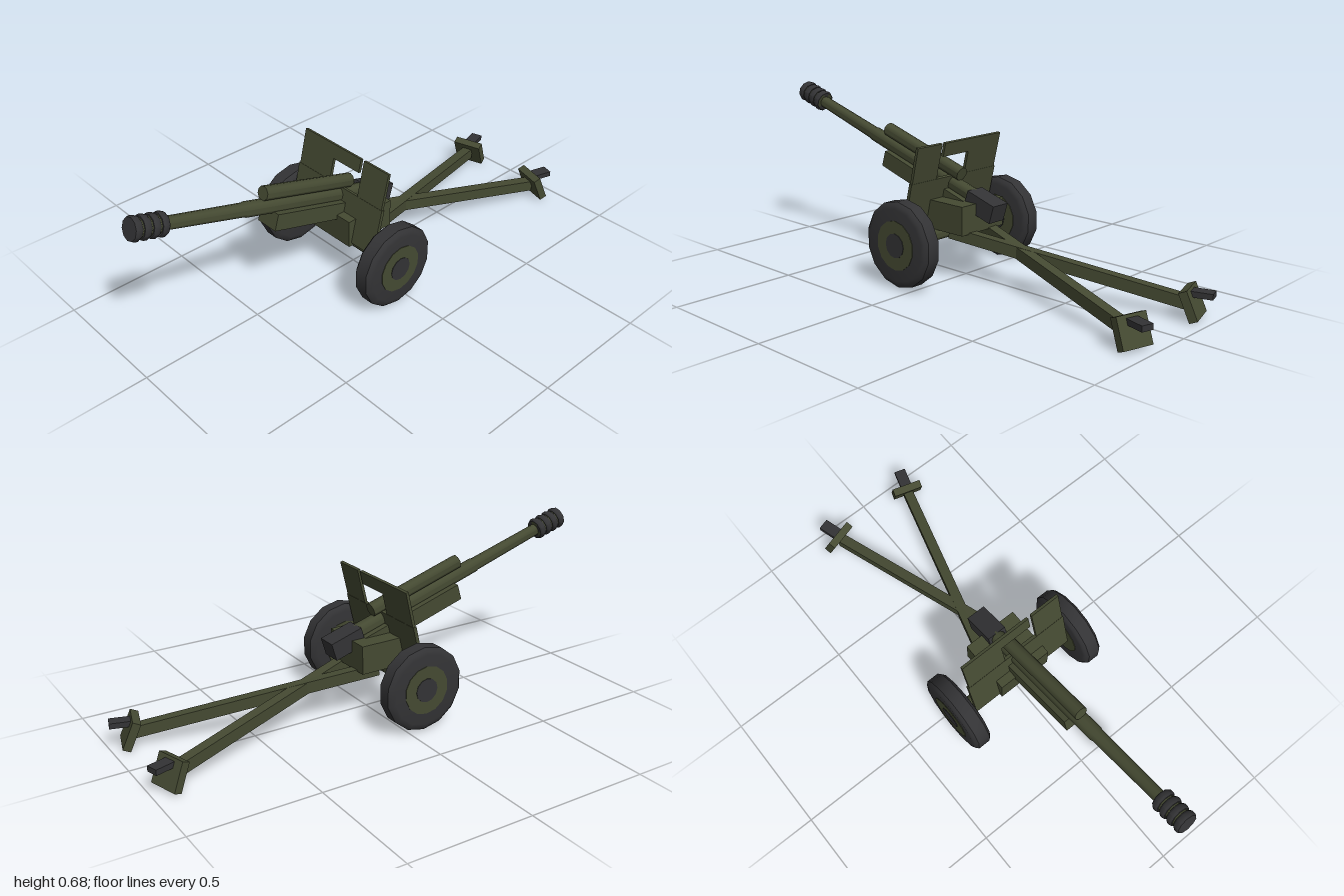
import * as THREE from 'three';
import { toCreasedNormals } from 'three/addons/utils/BufferGeometryUtils.js';

const olive = new THREE.MeshStandardMaterial({ color: 0x454a32 });
olive.name = 'olive green';
const dark = new THREE.MeshStandardMaterial({ color: 0x333335 });
dark.name = 'dark grey';

function add(parent, name, geometry, material, x = 0, y = 0, z = 0) {
  const mesh = new THREE.Mesh(geometry, material);
  mesh.name = name;
  mesh.position.set(x, y, z);
  parent.add(mesh);
  return mesh;
}

const box = (w, h, d) => new THREE.BoxGeometry(w, h, d);

// Round part turned from [radius, position] pairs, lying along z
function turned(points, sides) {
  const profile = points.map(([r, s]) => new THREE.Vector2(r, s));
  const geometry = new THREE.LatheGeometry(profile, sides).rotateX(Math.PI / 2);
  return toCreasedNormals(geometry, 0.68);
}

const rod = (r, from, to, sides) => turned([[0, from], [r, from], [r, to], [0, to]], sides);

// Elevated gun: local z runs along the bore
function makeGun() {
  const gun = new THREE.Group();
  gun.name = 'gun';
  gun.position.y = 0.34;
  gun.rotation.x = -0.297;

  add(gun, 'barrel', turned([[0, -0.05], [0.03, -0.05], [0.03, 0.55], [0.027, 0.56], [0.024, 0.92], [0, 0.92]], 10), olive);
  add(gun, 'recuperator', rod(0.028, 0.04, 0.477, 10), olive, 0, 0.054);
  add(gun, 'cradle', box(0.098, 0.067, 0.48), olive, 0, -0.05, 0.186);
  add(gun, 'breech', box(0.082, 0.074, 0.14), dark, 0, -0.008, -0.11);

  // Muzzle brake: a core carrying spaced rings
  add(gun, 'muzzleCore', rod(0.037, 0.893, 1.02, 10), olive);
  for (let i = 0; i < 4; i++) {
    const from = 0.893 + i * 0.035;
    add(gun, 'muzzleRing', turned([[0, from], [0.04, from], [0.045, from + 0.007],
      [0.045, from + 0.02], [0.042, from + 0.028], [0, from + 0.028]], 10), dark);
  }
  return gun;
}

// Leaning shield with a stepped opening for the gun
function makeShield() {
  const shield = new THREE.Group();
  shield.name = 'shield';
  shield.position.set(0, 0.21, 0.112);
  shield.rotation.x = -0.236;
  add(shield, 'lowerShield', box(0.47, 0.192, 0.014), olive, 0, 0.096, 0);

  const plate = new THREE.Shape([
    [-0.23, 0.19], [-0.055, 0.19], [-0.055, 0.283], [0.085, 0.283], [0.085, 0.339], [-0.23, 0.339],
  ].map(([x, y]) => new THREE.Vector2(x, y)));
  const geometry = new THREE.ExtrudeGeometry(plate, { depth: 0.012, bevelEnabled: false });
  add(shield, 'rightUpperShield', geometry, olive, 0, 0, -0.006);
  add(shield, 'leftUpperShield', box(0.13, 0.149, 0.012), olive, 0.166, 0.2645, 0);
  return shield;
}

// Wheel with chamfered tyre, rim disc and hub, turned onto the x axis
function makeWheel(side) {
  const wheel = new THREE.Group();
  wheel.name = side > 0 ? 'leftWheel' : 'rightWheel';
  wheel.position.set(side * 0.285, 0.175, 0.061);
  wheel.rotation.y = Math.PI / 2;
  add(wheel, 'tyre', turned([[0, -0.04], [0.142, -0.04], [0.157, -0.037], [0.169, -0.026],
    [0.169, 0.026], [0.157, 0.037], [0.142, 0.04], [0, 0.04]], 14), dark);
  add(wheel, 'rim', rod(0.097, -0.042, 0.042, 14), olive);
  add(wheel, 'hub', rod(0.048, -0.044, 0.044, 12), dark);
  return wheel;
}

// Splayed trail leg with its ground spade and handle
function makeTrail(side) {
  const trail = new THREE.Group();
  trail.name = side > 0 ? 'leftTrail' : 'rightTrail';
  trail.position.set(0, 0.15, -0.28);
  trail.rotation.y = -side * 0.285;

  const beam = add(trail, 'trailBeam', box(0.042, 0.046, 0.95), olive, 0, -0.025, -0.178);
  beam.rotation.x = -0.143;
  const spade = add(trail, 'spade', box(0.125, 0.114, 0.032), olive, 0, -0.091, -0.664);
  spade.rotation.x = 0.4;
  add(trail, 'trailHandle', box(0.048, 0.022, 0.09), dark, 0, -0.054, -0.695);
  return trail;
}

export function createModel() {
  const model = new THREE.Group();
  model.name = 'fieldGun';

  // Carriage
  add(model, 'carriageBox', box(0.234, 0.115, 0.22), olive, 0, 0.2545, 0.02);
  const axle = add(model, 'axle', rod(0.025, -0.26, 0.26, 10), olive, 0, 0.175, 0.061);
  axle.rotation.y = Math.PI / 2;

  model.add(makeGun(), makeShield());
  for (const side of [1, -1]) model.add(makeWheel(side), makeTrail(side));
  return model;
}
